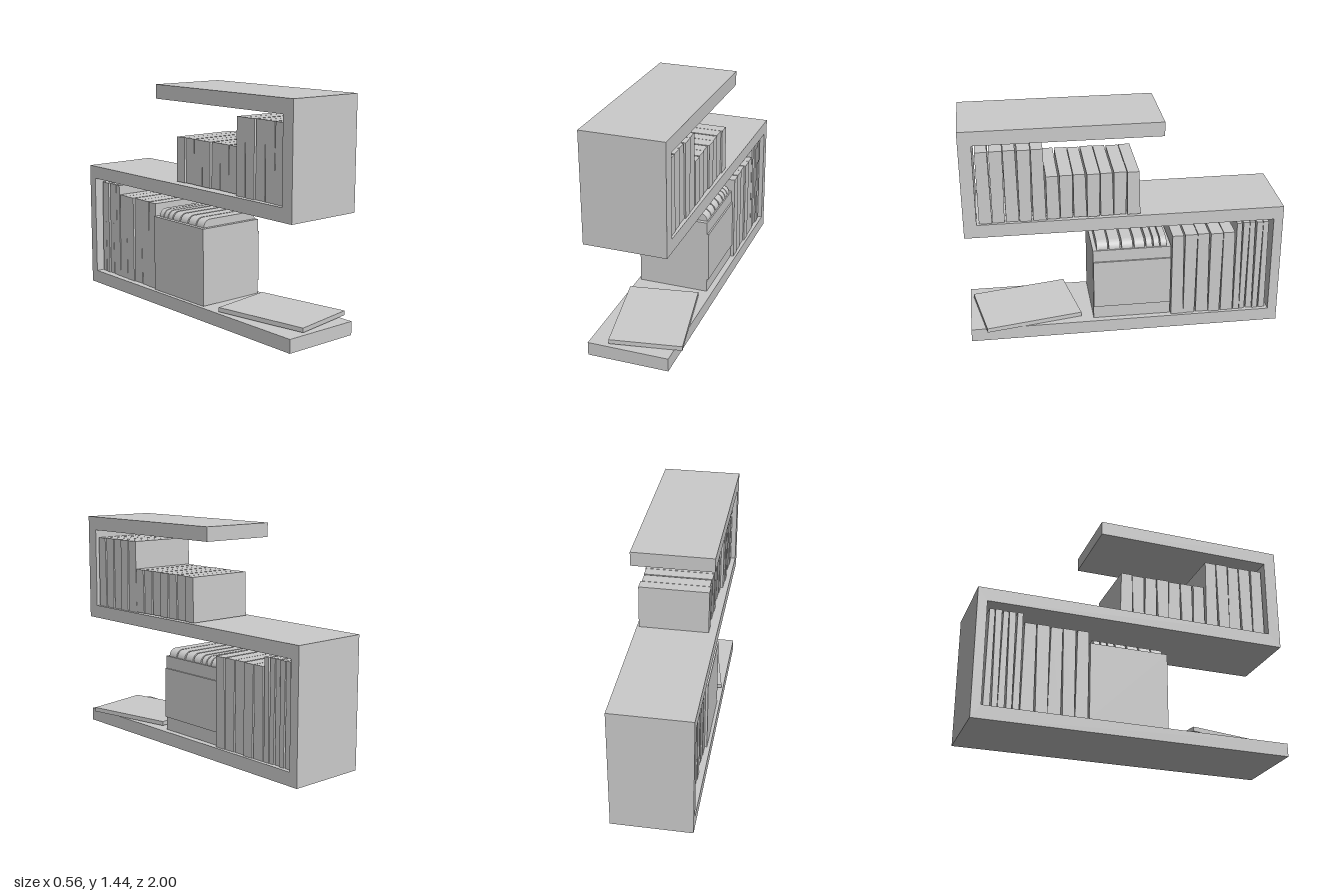
import * as THREE from 'three';

const material = new THREE.MeshStandardMaterial({ color: 0xcccccc, flatShading: true });

function addMesh(parent, name, geometry) {
  const mesh = new THREE.Mesh(geometry, material);
  mesh.name = name;
  parent.add(mesh);
  return mesh;
}

// Box given by its limits on each axis
function addBox(parent, name, [x0, x1], [y0, y1], [z0, z1]) {
  const mesh = addMesh(parent, name, new THREE.BoxGeometry(x1 - x0, y1 - y0, z1 - z0));
  mesh.position.set((x0 + x1) / 2, (y0 + y1) / 2, (z0 + z1) / 2);
  return mesh;
}

// Outline drawn in (z, y), extruded across x from x0 to x1
function extrudeAcross(shape, x0, x1) {
  const geometry = new THREE.ExtrudeGeometry(shape, { depth: x1 - x0, bevelEnabled: false });
  geometry.rotateY(-Math.PI / 2);
  geometry.translate(x1, 0, 0);
  return geometry;
}

// Row of upright books running from z0 back to z1, each slightly wedge shaped
function addBookRow(parent, name, count, [x0, x1], [y0, y1], z0, z1) {
  const row = new THREE.Group();
  row.name = name;
  const pitch = (z0 - z1) / count;
  for (let i = 0; i < count; i++) {
    const front = z0 - i * pitch;
    const back = front - pitch + 0.002;
    const taper = 0.008;
    const low = i % 2 ? taper : 0.001;
    const high = i % 2 ? 0.001 : taper;
    const shape = new THREE.Shape([
      new THREE.Vector2(front, y0),
      new THREE.Vector2(front, y1),
      new THREE.Vector2(back + high, y1),
      new THREE.Vector2(back + low, y0),
    ]);
    const inset = (i % 3) * 0.004;
    addMesh(row, 'book', extrudeAcross(shape, x0 + inset, x1 - inset));
  }
  parent.add(row);
}

// Thin card with rounded upper corners, facing z
function addCard(parent, [x0, x1], [y0, y1], [z0, z1]) {
  const r = 0.05;
  const shape = new THREE.Shape();
  shape.moveTo(x0, y0);
  shape.lineTo(x1, y0);
  shape.lineTo(x1, y1 - r);
  shape.absarc(x1 - r, y1 - r, r, 0, Math.PI / 2);
  shape.absarc(x0 + r, y1 - r, r, Math.PI / 2, Math.PI);
  const geometry = new THREE.ExtrudeGeometry(shape, {
    depth: z1 - z0, bevelEnabled: false, curveSegments: 8,
  });
  addMesh(parent, 'card', geometry).position.z = z0;
}

export function createModel() {
  const model = new THREE.Group();
  model.name = 'bookshelf';

  // One continuous S-shaped shelf
  const outline = [
    [-1, 0], [1, 0], [1, 0.085], [-0.94, 0.085], [-0.94, 0.745], [1, 0.745],
    [1, 1.44], [-0.23, 1.44], [-0.23, 1.35], [0.92, 1.35], [0.92, 0.83], [-1, 0.83],
  ].map(([z, y]) => new THREE.Vector2(z, y));
  addMesh(model, 'shelf', extrudeAcross(new THREE.Shape(outline), -0.28, 0.23));

  // Books on the upper shelf
  addBookRow(model, 'upperTallBooks', 5, [-0.25, 0.215], [0.83, 1.3], 0.905, 0.492);
  addBookRow(model, 'upperShortBooks', 7, [-0.23, 0.215], [0.835, 1.12], 0.49, -0.09);

  // Books on the lower shelf
  addBookRow(model, 'lowerBooks', 5, [-0.245, 0.215], [0.087, 0.66], -0.295, -0.708);
  addBookRow(model, 'lowerThinBooks', 5, [-0.24, 0.21], [0.087, 0.72], -0.71, -0.925);

  // File box with a raised band on its side, and cards showing at the top
  const fileBox = new THREE.Group();
  fileBox.name = 'fileBox';
  addBox(fileBox, 'boxBody', [-0.26, 0.195], [0.088, 0.58], [-0.29, 0.21]);
  addBox(fileBox, 'boxBand', [0.15, 0.205], [0.175, 0.5], [-0.289, 0.208]);
  const cardEdges = [
    [0.115, 0.185], [0.035, 0.107], [-0.045, 0.025], [-0.12, -0.055],
    [-0.17, -0.13], [-0.215, -0.178], [-0.262, -0.222],
  ];
  for (const edges of cardEdges) addCard(fileBox, [-0.235, 0.187], [0.4, 0.63], edges);
  model.add(fileBox);

  // Book lying flat, turned so one corner overhangs the shelf
  const flatBook = addMesh(model, 'flatBook', new THREE.BoxGeometry(0.443, 0.028, 0.62));
  flatBook.position.set(0.005, 0.105, 0.633);
  flatBook.rotation.set(0.003, 0.187, -0.008);

  return model;
}
